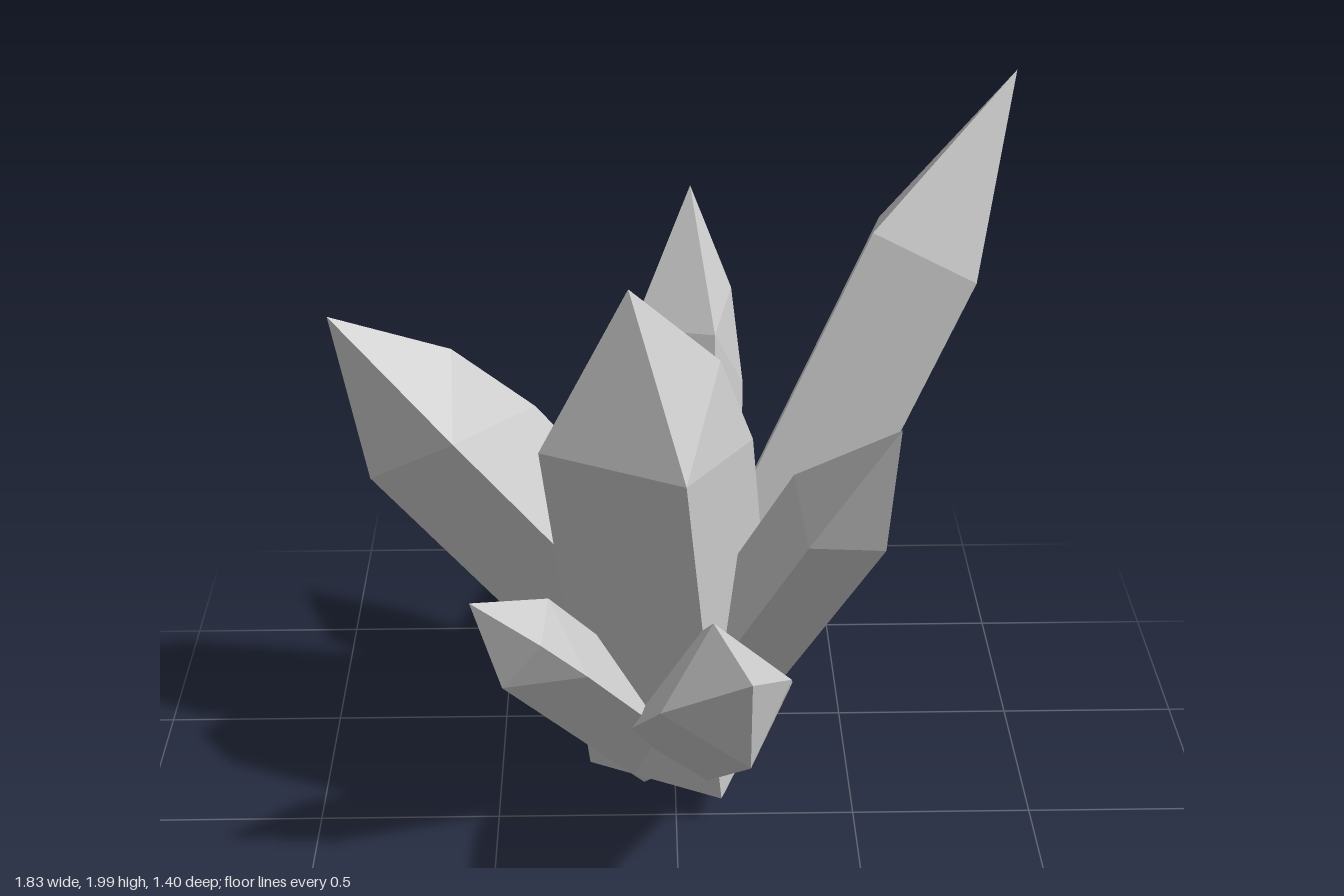
import * as THREE from 'three';

// Unit crystal: square column along +y, pyramid tip at y = 1,
// with the corner on +x cut lower and its tip ridge kinked.
function unitCrystal() {
  const corner = (i, h, r = 1) => {
    const a = (i * Math.PI) / 2;
    return [r * Math.cos(a), h, -r * Math.sin(a)];
  };
  const base = [0, 1, 2, 3].map((i) => corner(i, 0));
  const shoulder = [0, 1, 2, 3].map((i) => corner(i, i === 0 ? 0.624 : 0.742));
  const kink = corner(0, 0.807, 0.76);
  const tip = [0, 1, 0];
  const pos = [];
  const tri = (...pts) => pts.forEach((p) => pos.push(...p));

  // column sides
  for (let i = 0; i < 4; i++) {
    const j = (i + 1) % 4;
    tri(base[i], base[j], shoulder[j]);
    tri(base[i], shoulder[j], shoulder[i]);
  }
  // tip facets
  tri(tip, shoulder[1], shoulder[2]);
  tri(tip, shoulder[2], shoulder[3]);
  tri(tip, kink, shoulder[1]);
  tri(kink, shoulder[0], shoulder[1]);
  tri(tip, shoulder[3], kink);
  tri(kink, shoulder[3], shoulder[0]);
  // base cap
  tri(base[0], base[3], base[2]);
  tri(base[0], base[2], base[1]);

  const geo = new THREE.BufferGeometry();
  geo.setAttribute('position', new THREE.Float32BufferAttribute(pos, 3));
  return geo;
}

// Each crystal: base centre, tip, direction of the low corner, half diagonal
const CRYSTALS = [
  { name: 'tallRightCrystal', base: [0.04, 0.16, -0.24], tip: [0.91, 2.0, -0.57], low: [0.15, -0.105, -0.105], r: 0.215 },
  { name: 'longLeftCrystal', base: [0.07, 0.15, -0.467], tip: [-0.92, 1.42, -0.31], low: [0.167, 0.14, -0.08], r: 0.23 },
  { name: 'centreCrystal', base: [0.025, 0.15, -0.225], tip: [-0.12, 1.71, 0.18], low: [0.275, 0.05, -0.095], r: 0.287 },
  { name: 'backCrystal', base: [0.03, 0.2, -0.28], tip: [0.05, 1.65, -0.65], low: [0.155, -0.018, -0.065], r: 0.17 },
  { name: 'frontRightCrystal', base: [0.05, 0.19, -0.27], tip: [0.53, 1.45, 0.43], low: [0.08, 0.025, -0.12], r: 0.15 },
  { name: 'frontLeftCrystal', base: [-0.03, 0.13, -0.19], tip: [-0.52, 0.98, 0.43], low: [0.1, 0, 0.08], r: 0.13 },
  { name: 'frontCrystal', base: [0.02, 0.2, -0.2], tip: [0.17, 0.9, 0.69], low: [0.18, 0.025, -0.04], r: 0.188 },
];

export function createModel() {
  const group = new THREE.Group();
  group.name = 'crystalCluster';
  const material = new THREE.MeshStandardMaterial({ color: 0xcccccc, flatShading: true });
  const unit = unitCrystal();

  for (const { name, base, tip, low, r } of CRYSTALS) {
    const origin = new THREE.Vector3(...base);
    const axis = new THREE.Vector3(...tip).sub(origin);
    const dir = axis.clone().normalize();
    const x = new THREE.Vector3(...low).projectOnPlane(dir).setLength(r);
    const z = x.clone().cross(dir);
    const matrix = new THREE.Matrix4().makeBasis(x, axis, z).setPosition(origin);
    const geo = unit.clone().applyMatrix4(matrix);
    geo.computeVertexNormals();
    const mesh = new THREE.Mesh(geo, material);
    mesh.name = name;
    group.add(mesh);
  }
  return group;
}
